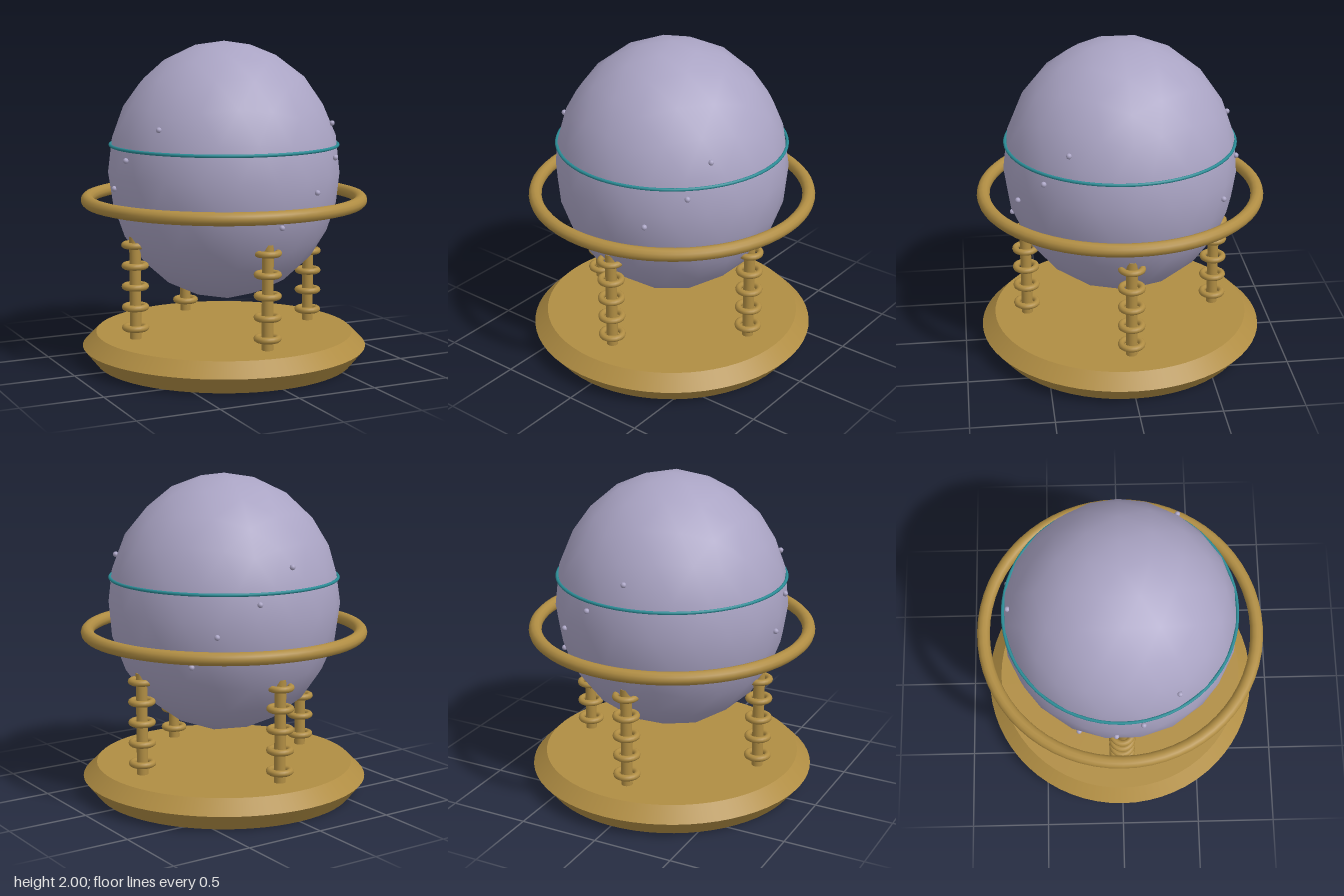
import * as THREE from 'three';

export function createModel() {
  const model = new THREE.Group();
  const shell = new THREE.MeshStandardMaterial({ name: 'lavender shell', color: 0xaaa4c4 });
  const brass = new THREE.MeshStandardMaterial({ name: 'brass', color: 0xb08d43 });
  const teal = new THREE.MeshStandardMaterial({ name: 'teal', color: 0x2a8c96 });

  function add(parent, name, geometry, material, x = 0, y = 0, z = 0) {
    const mesh = new THREE.Mesh(geometry, material);
    mesh.name = name;
    mesh.position.set(x, y, z);
    parent.add(mesh);
    return mesh;
  }
  const flatRing = (radius, tube, sides, segments) =>
    new THREE.TorusGeometry(radius, tube, sides, segments).rotateX(Math.PI / 2);

  // Base: two bevelled discs meeting at the widest edge
  const base = new THREE.Group();
  base.name = 'base';
  model.add(base);
  add(base, 'baseLower', new THREE.CylinderGeometry(0.89, 0.805, 0.105, 64), brass, 0, 0.0525, 0);
  add(base, 'baseUpper', new THREE.CylinderGeometry(0.805, 0.89, 0.085, 64), brass, 0, 0.1475, 0);

  // Egg: coarse icosphere standing on a corner, stretched upwards
  const RX = 0.72, RY = 0.8, CY = 1.2;
  const golden = (1 + Math.sqrt(5)) / 2;
  const eggGeometry = new THREE.IcosahedronGeometry(1, 3)
    .rotateZ(-Math.atan(1 / golden))
    .scale(RX, RY, RX);
  add(model, 'egg', eggGeometry, shell, 0, CY, 0);

  // Bumps: rows of three winding around the egg, [height, angles in degrees]
  const bumpGeometry = new THREE.SphereGeometry(0.017, 10, 8);
  const bumps = new THREE.Group();
  bumps.name = 'bumps';
  model.add(bumps);
  const rows = [
    [1.5, [32.6, 150, 267.4]],
    [1.305, [45, 170, 287]],
    [1.12, [65, 183, 307]],
    [0.93, [85.4, 203, 320]],
  ];
  for (const [y, angles] of rows) {
    const r = RX * Math.sqrt(1 - ((y - CY) / RY) ** 2);
    for (const degrees of angles) {
      const a = THREE.MathUtils.degToRad(degrees);
      add(bumps, 'bump', bumpGeometry, shell, r * Math.cos(a), y, r * Math.sin(a));
    }
  }

  // Thin band above the middle and the wide support ring
  add(model, 'band', flatRing(0.705, 0.01, 8, 64), teal, 0, 1.365, 0);
  add(model, 'supportRing', flatRing(0.85, 0.04, 12, 64), brass, 0, 1.025, 0);

  // Four posts, each with five collars, running up into the egg
  const postGeometry = new THREE.CylinderGeometry(0.035, 0.035, 0.65, 16);
  const collarGeometry = flatRing(0.064, 0.02, 10, 24);
  for (let i = 0; i < 4; i++) {
    const a = (i * Math.PI) / 2;
    const post = new THREE.Group();
    post.name = 'post';
    post.position.set(0.6 * Math.cos(a), 0, 0.6 * Math.sin(a));
    model.add(post);
    add(post, 'postShaft', postGeometry, brass, 0, 0.5, 0);
    for (let j = 0; j < 5; j++) add(post, 'collar', collarGeometry, brass, 0, 0.26 + j * 0.1285, 0);
  }

  return model;
}
